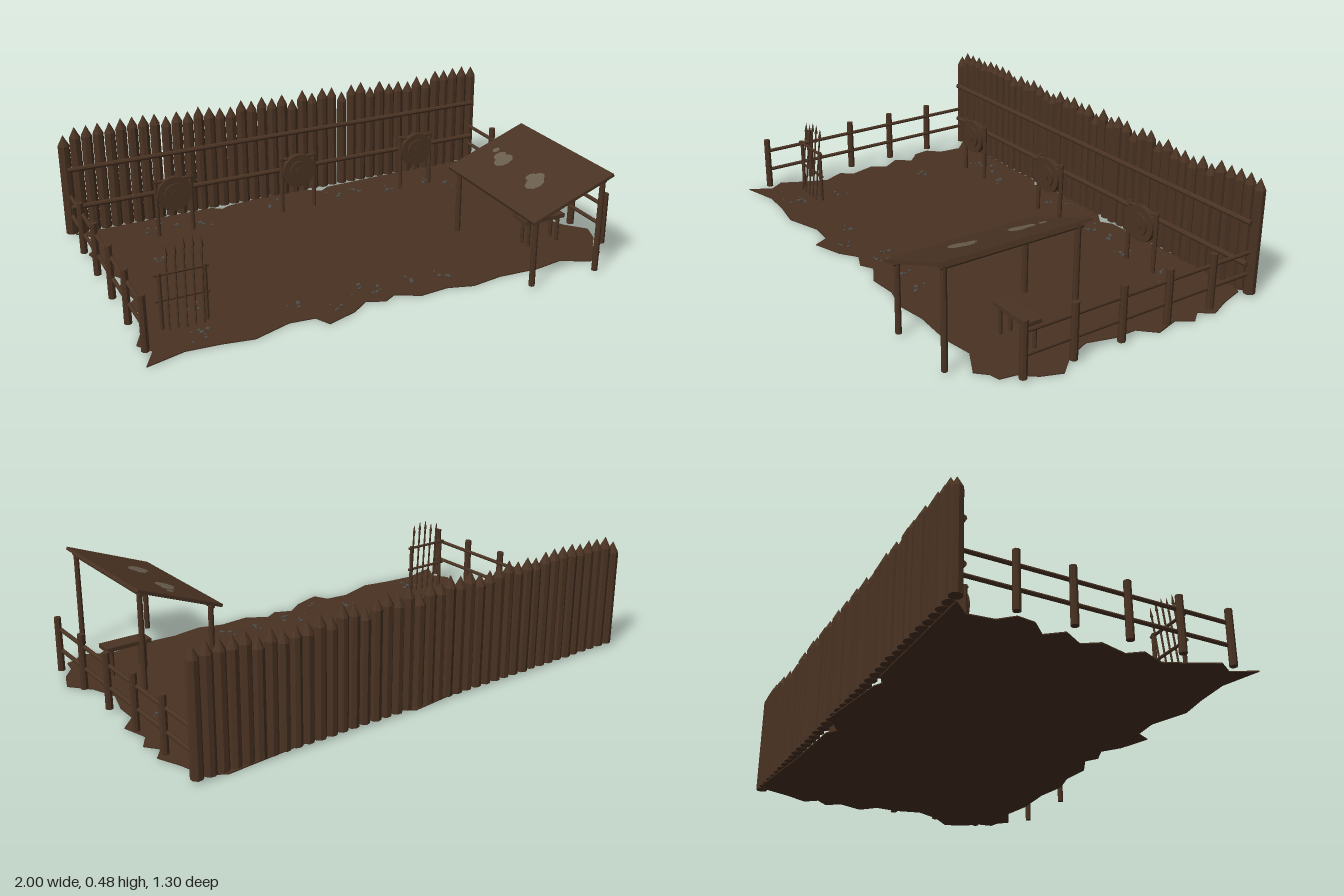
import * as THREE from 'three';

const mat = (name, color) => {
  const m = new THREE.MeshStandardMaterial({ color, flatShading: true });
  m.name = name;
  return m;
};

export function createModel() {
  const wood = mat('brown wood', 0x4a3323);
  const earth = mat('packed earth', 0x483222);
  const stone = mat('grey stone', 0x4b4a46);
  const patch = mat('worn straw patch', 0x6a5e4e);
  const root = new THREE.Group();
  root.name = 'trainingYard';

  let seed = 7;
  const rnd = () => ((seed = (seed * 16807) % 2147483647) / 2147483647);

  const group = (name, parent = root) => {
    const g = new THREE.Group();
    g.name = name;
    parent.add(g);
    return g;
  };
  const add = (parent, name, geo, material, x = 0, y = 0, z = 0) => {
    const m = new THREE.Mesh(geo, material);
    m.name = name;
    m.position.set(x, y, z);
    parent.add(m);
    return m;
  };
  // round pole between two points
  const pole = (parent, name, a, b, r, r2 = r, sides = 8) => {
    const p = new THREE.Vector3(...a), q = new THREE.Vector3(...b);
    const d = q.clone().sub(p);
    const m = add(parent, name, new THREE.CylinderGeometry(r2, r, d.length(), sides), wood);
    m.position.copy(p).add(q).multiplyScalar(0.5);
    m.quaternion.setFromUnitVectors(new THREE.Vector3(0, 1, 0), d.normalize());
    return m;
  };

  // ragged ground sheet, outline as x, z pairs
  const edge = [
    -0.96, -0.61, -0.9, -0.55, -0.91, -0.45, -0.96, -0.4, -0.95, -0.33, -0.89, -0.27, -0.94, -0.21,
    -0.89, -0.13, -0.93, -0.07, -0.9, 0.04, -0.94, 0.09, -0.9, 0.18, -0.94, 0.27, -0.99, 0.37,
    -0.95, 0.43, -1, 0.52, -0.85, 0.48, -0.72, 0.49, -0.6, 0.51, -0.45, 0.46, -0.35, 0.47, -0.32, 0.53,
    -0.2, 0.49, -0.13, 0.44, -0.06, 0.47, -0.01, 0.44, 0.08, 0.49, 0.2, 0.48, 0.3, 0.51, 0.43, 0.49,
    0.6, 0.5, 0.72, 0.48, 0.83, 0.54, 0.87, 0.5, 0.91, 0.49, 0.92, 0.43, 0.97, 0.37, 1, 0.29,
    0.93, 0.21, 0.89, 0.11, 0.92, 0, 0.92, -0.09, 0.98, -0.15, 0.95, -0.25, 0.99, -0.31, 0.95, -0.36,
    0.99, -0.41, 0.95, -0.5, 0.92, -0.6, 0.85, -0.64, 0.5, -0.61, 0.2, -0.6, 0.155, -0.57, 0.11, -0.6,
    0.06, -0.64, -0.28, -0.6, -0.32, -0.58, -0.36, -0.61,
  ];
  const outline = new THREE.Shape();
  for (let i = 0; i < edge.length; i += 2) outline[i ? 'lineTo' : 'moveTo'](edge[i], -edge[i + 1]);
  const groundGeo = new THREE.ExtrudeGeometry(outline, { depth: 0.004, bevelEnabled: false });
  add(root, 'ground', groundGeo.rotateX(-Math.PI / 2), earth);

  // palisade of sharpened logs
  const palisade = group('palisade');
  const logs = 41;
  for (let i = 0; i < logs; i++) {
    const x = -0.972 + (1.928 * i) / (logs - 1);
    const h = 0.445 + rnd() * 0.038, r = 0.023 + rnd() * 0.002;
    const profile = [[0, 0.01], [r, 0.01], [r * 0.95, h - 0.045], [0, h]];
    const geo = new THREE.LatheGeometry(profile.map((p) => new THREE.Vector2(...p)), 8);
    add(palisade, 'sharpenedLog', geo, wood, x, 0, -0.618 + (rnd() - 0.5) * 0.004).rotation.y = rnd() * 3;
  }
  for (const y of [0.3, 0.133]) pole(palisade, 'backRail', [-0.97, y, -0.592], [0.955, y, -0.592], 0.011);

  // side fences
  for (const [name, x, s] of [['rightFence', -0.968, -1], ['leftFence', 0.952, 1]]) {
    const fence = group(name);
    for (const z of [0.43, 0.22, 0.01, -0.2, -0.41])
      pole(fence, 'fencePost', [x + s * 0.007, 0.01, z], [x + s * 0.007, 0.23, z], 0.015, 0.014);
    for (const y of [0.18, 0.092]) pole(fence, 'fenceRail', [x, y, 0.43], [x, y, -0.6], 0.008);
  }

  // round practice targets
  for (const x of [-0.58, -0.02, 0.56]) {
    const target = group('target');
    target.position.set(x, 0, -0.43);
    for (const s of [-1, 1]) pole(target, 'targetLeg', [s * 0.075, 0.01, 0.002], [s * 0.075, 0.26, -0.002], 0.009);
    pole(target, 'targetCrossbar', [-0.085, 0.25, 0], [0.085, 0.25, 0], 0.007);
    for (const [r, z, d] of [[0.075, 0.008, 0.02], [0.047, 0.02, 0.012], [0.02, 0.027, 0.006]])
      add(target, 'targetDisc', new THREE.CylinderGeometry(r, r, d, 20), wood, 0, 0.192, z).rotation.x = Math.PI / 2;
  }

  // spear rack
  const rack = group('spearRack');
  for (const x of [-0.875, -0.705]) pole(rack, 'rackPost', [x, 0.005, 0.305], [x, 0.23, 0.305], 0.008);
  for (const y of [0.222, 0.12]) pole(rack, 'rackBar', [-0.895, y, 0.305], [-0.69, y, 0.305], 0.006);
  for (let i = 0; i < 5; i++) {
    const x = -0.855 + i * 0.033, h = 0.285 + rnd() * 0.025;
    pole(rack, 'spearShaft', [x, 0.005, 0.325], [x + 0.012, h, 0.298], 0.004, 0.004, 6);
    pole(rack, 'spearHead', [x + 0.012, h - 0.005, 0.298], [x + 0.014, h + 0.035, 0.295], 0.008, 0, 4);
  }

  // lean-to shelter, low on the right side and high on the left
  const shelter = group('shelter');
  const zFront = 0.62, zBack = 0.075;
  for (const [x, h] of [[0.487, 0.288], [0.782, 0.4]]) {
    for (const z of [zFront, zBack]) pole(shelter, 'shelterPost', [x, 0.012, z], [x, h, z], 0.012, 0.011);
    pole(shelter, 'shelterBeam', [x, h - 0.004, zFront + 0.015], [x, h - 0.004, zBack - 0.02], 0.009);
  }
  for (const z of [zFront, 0.487, 0.347, 0.208, zBack])
    pole(shelter, 'rafter', [0.475, 0.284, z], [0.795, 0.406, z], 0.006, 0.006, 6);
  const roof = group('roof', shelter);
  roof.position.set(0.632, 0.354, 0.343);
  roof.rotation.z = 0.365;
  add(roof, 'roofPanel', new THREE.BoxGeometry(0.375, 0.012, 0.616), wood);
  // worn patches: overlapping thin blobs
  for (const [x, z, r] of [[-0.02, -0.14, 0.042], [-0.01, -0.18, 0.028], [0.005, -0.23, 0.016],
    [-0.035, 0.1, 0.042], [-0.02, 0.055, 0.024], [-0.012, 0.08, 0.036]]) {
    const blob = add(roof, 'roofPatch', new THREE.CylinderGeometry(r, r, 0.003, 9), patch, x, 0.0065, z);
    blob.scale.z = 0.85;
  }

  // bench
  const bench = group('bench');
  add(bench, 'benchSeat', new THREE.BoxGeometry(0.19, 0.016, 0.07), wood, 0.745, 0.116, 0.298);
  for (const x of [0.675, 0.815]) {
    for (const z of [0.276, 0.32]) pole(bench, 'benchLeg', [x, 0.004, z], [x, 0.11, z], 0.008);
    add(bench, 'benchBrace', new THREE.BoxGeometry(0.014, 0.014, 0.055), wood, x, 0.1, 0.298);
  }

  // small stone clusters
  const stones = group('stones');
  const clusters = [[-0.73, -0.21], [-0.66, -0.5], [-0.58, -0.52], [-0.43, -0.46], [-0.1, -0.53], [0.2, -0.5],
    [0.28, -0.52], [0.42, -0.46], [0.63, -0.46], [0.73, -0.38], [0.83, -0.14], [-0.73, 0.21], [-0.78, 0.41],
    [-0.76, 0.39], [-0.38, 0.34], [-0.23, 0.44], [-0.12, 0.35], [-0.06, 0.37], [0.08, 0.35], [0.24, 0.38]];
  for (const [cx, cz] of clusters) {
    for (let i = 0; i < 4; i++) {
      const r = 0.005 + rnd() * 0.006;
      const x = cx + (rnd() - 0.5) * 0.07, z = cz + (rnd() - 0.5) * 0.07;
      const s = add(stones, 'stone', new THREE.IcosahedronGeometry(r, 0), stone, x, 0.007, z);
      s.scale.y = 0.6;
      s.rotation.y = rnd() * 6;
    }
  }
  return root;
}
